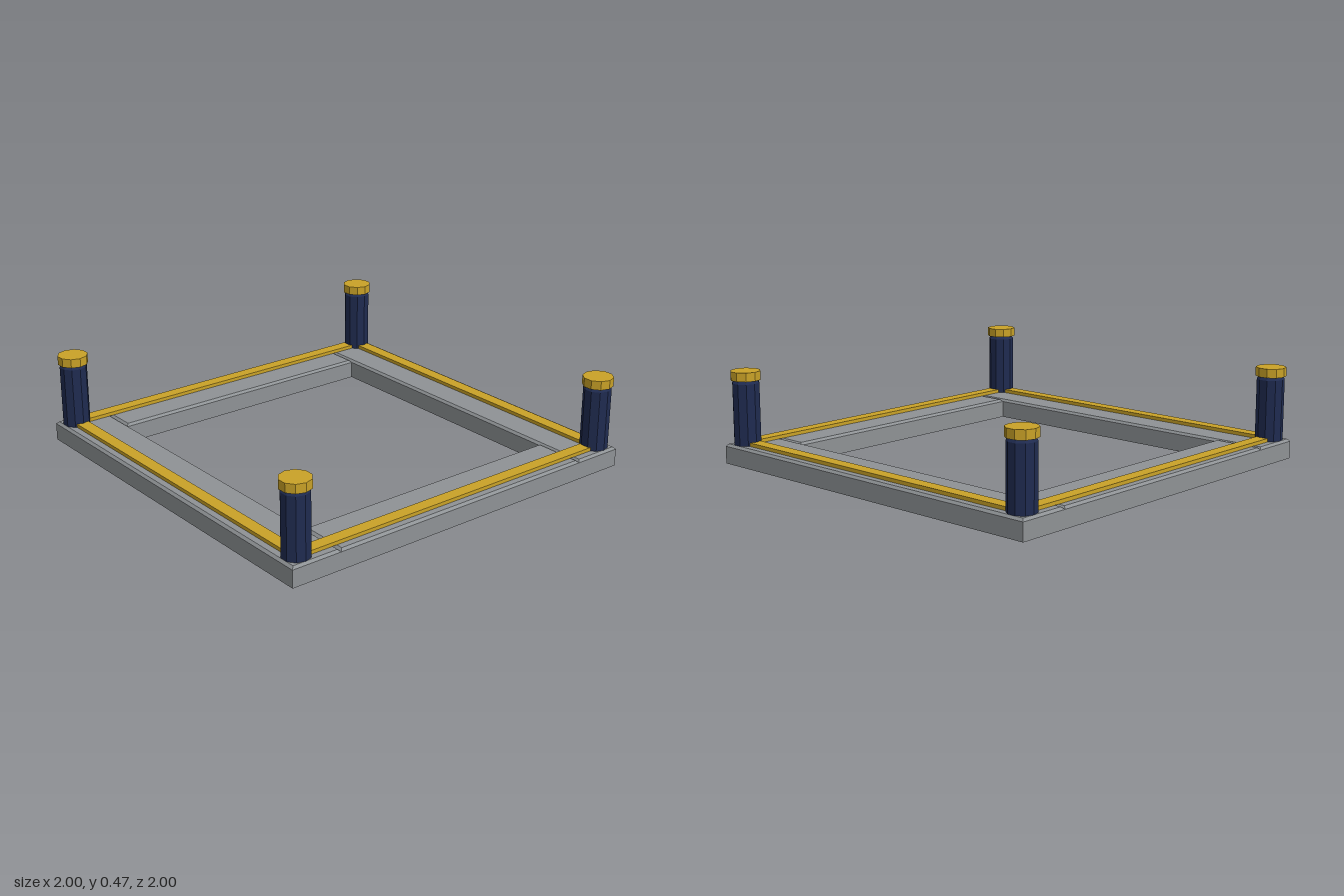
import * as THREE from 'three';

const mat = (name, color) => Object.assign(new THREE.MeshStandardMaterial({ color }), { name });

// Split faces so each one is shaded flat
function flat(geometry) {
  const g = geometry.toNonIndexed();
  g.computeVertexNormals();
  return g;
}

// Box standing on y = 0 whose top edges are chamfered by b
function chamferedSlab(w, h, d, b) {
  const g = new THREE.BoxGeometry(w, h, d, 1, 2, 1).translate(0, h / 2, 0);
  const p = g.attributes.position;
  for (let i = 0; i < p.count; i++) {
    const y = p.getY(i);
    if (y > h * 0.75) {
      p.setX(i, p.getX(i) - Math.sign(p.getX(i)) * b);
      p.setZ(i, p.getZ(i) - Math.sign(p.getZ(i)) * b);
    } else if (y > h * 0.25) {
      p.setY(i, h - b);
    }
  }
  return flat(g);
}

// Ten-sided turned solid from [radius, height] pairs, listed upwards
function turned(points) {
  const profile = points.map(([r, y]) => new THREE.Vector2(r, y));
  return flat(new THREE.LatheGeometry(profile, 10, Math.PI / 2));
}

export function createModel() {
  const model = new THREE.Group();
  model.name = 'squareFrameWithPosts';
  const stone = mat('grey stone', 0x8e9295);
  const navy = mat('navy', 0x1f2b50);
  const gold = mat('gold', 0xc9a227);

  const add = (name, geometry, material, x, y, z) => {
    const mesh = new THREE.Mesh(geometry, material);
    mesh.name = name;
    mesh.position.set(x, y, z);
    model.add(mesh);
  };

  const top = 0.1, inner = 0.737, line = 0.922, barWidth = 0.065, barHeight = 0.018;
  const slabWidth = 1 - inner, slabMid = (1 + inner) / 2;

  // Frame slabs and the gold strips lying on them
  const longSlab = chamferedSlab(2, top, slabWidth, 0.012);
  const sideSlab = chamferedSlab(slabWidth, top, inner * 2, 0.012);
  const longStrip = new THREE.BoxGeometry(line * 2, barHeight, barWidth);
  const sideStrip = new THREE.BoxGeometry(barWidth, barHeight, line * 2 - barWidth);
  for (const s of [1, -1]) {
    const end = s > 0 ? 'front' : 'back', side = s > 0 ? 'left' : 'right';
    add(end + 'Slab', longSlab, stone, 0, 0, s * slabMid);
    add(side + 'Slab', sideSlab, stone, s * slabMid, 0, 0);
    add(end + 'Strip', longStrip, gold, 0, top + barHeight / 2, s * line);
    add(side + 'Strip', sideStrip, gold, s * line, top + barHeight / 2, 0);
  }

  // Corner posts with gold caps
  const post = turned([[0, 0], [0.069, 0], [0.069, 0.31], [0.058, 0.325], [0, 0.325]]);
  const cap = turned([[0, 0], [0.076, 0], [0.076, 0.045], [0, 0.045]]);
  for (const x of [-line, line]) {
    for (const z of [-line, line]) {
      const corner = (z > 0 ? 'front' : 'back') + (x > 0 ? 'Left' : 'Right');
      add(corner + 'Post', post, navy, x, top, z);
      add(corner + 'Cap', cap, gold, x, 0.425, z);
    }
  }
  return model;
}
